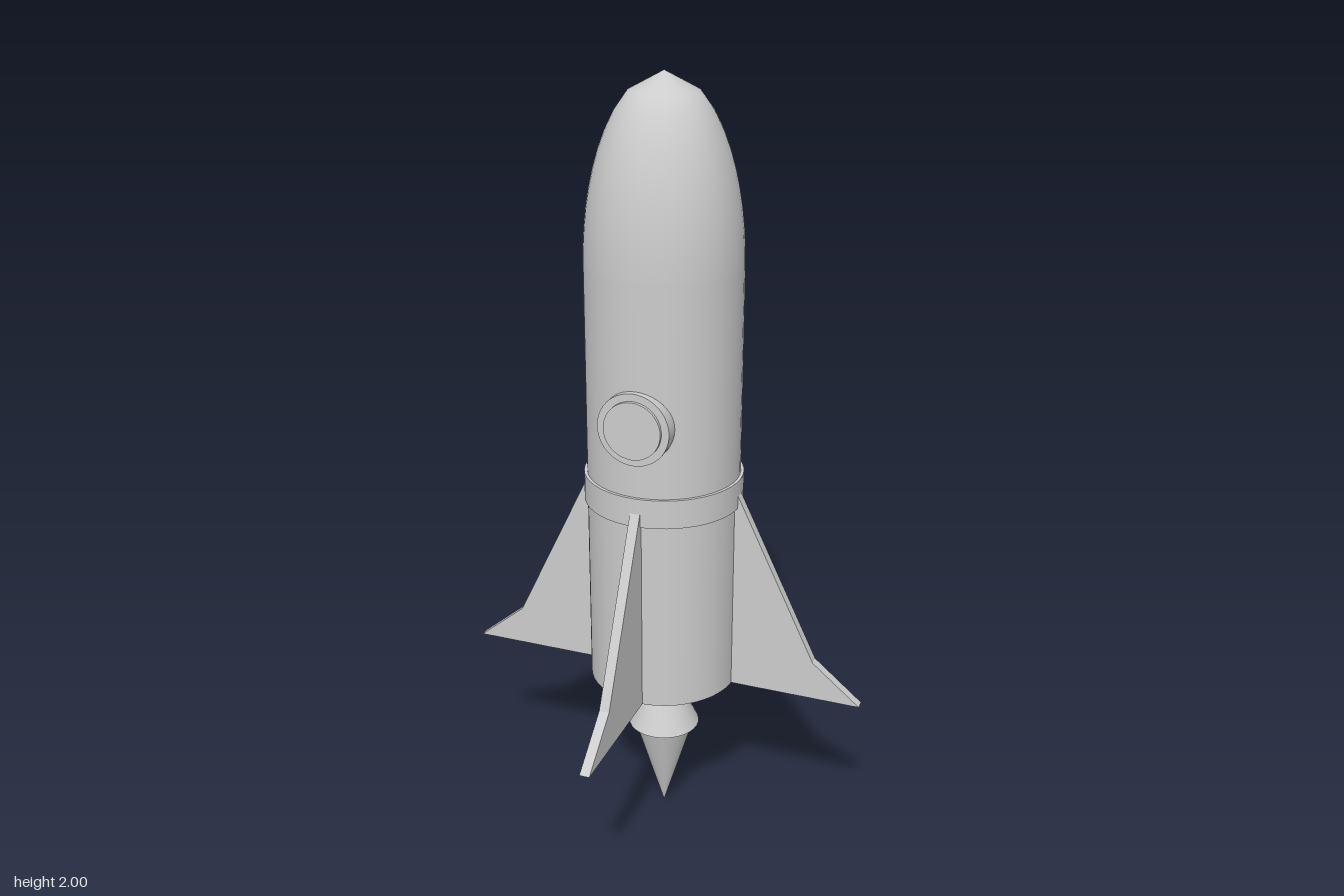
import * as THREE from 'three';

const V = (x, y) => new THREE.Vector2(x, y);

export function createModel() {
  const rocket = new THREE.Group();
  rocket.name = 'rocket';
  const grey = new THREE.MeshStandardMaterial({ color: 0xcccccc });
  grey.name = 'light grey';

  const add = (name, geometry, parent = rocket) => {
    const mesh = new THREE.Mesh(geometry, grey);
    mesh.name = name;
    parent.add(mesh);
    return mesh;
  };

  // Hull: straight tube from the tail to the shoulder
  const R = 0.195, tail = 0.43, shoulder = 1.55, top = 2;
  add('hull', new THREE.CylinderGeometry(R, R, shoulder - tail, 48, 1, true))
    .position.y = (shoulder + tail) / 2;
  const base = add('hullBase', new THREE.CircleGeometry(R, 48));
  base.rotation.x = Math.PI / 2;
  base.position.y = tail;

  // Nose: half ellipse in even height steps, which leaves a small point on top
  const nose = [];
  for (let i = 0; i <= 10; i++) {
    const t = i / 10;
    nose.push(V(R * Math.sqrt(1 - t * t), shoulder + t * (top - shoulder)));
  }
  add('nose', new THREE.LatheGeometry(nose, 48));

  // Raised band above the fins
  add('band', new THREE.CylinderGeometry(0.203, 0.203, 0.075, 48)).position.y = 0.976;

  // Porthole: frame and pane on the front
  const porthole = new THREE.Group();
  porthole.name = 'porthole';
  porthole.position.y = 1.195;
  rocket.add(porthole);
  [['portholeFrame', 0.092, 0.16, 0.211], ['portholePane', 0.073, 0.17, 0.22]].forEach(([name, r, z0, z1]) => {
    const disc = add(name, new THREE.CylinderGeometry(r, r, z1 - z0, 40), porthole);
    disc.rotation.x = Math.PI / 2;
    disc.position.z = (z0 + z1) / 2;
  });

  // Four swept fins
  const finShape = new THREE.Shape([
    V(0.17, tail), V(0.54, tail), V(0.413, 0.535), V(0.2, 0.978), V(0.17, 0.978),
  ]);
  const finGeometry = new THREE.ExtrudeGeometry(finShape, { depth: 0.026, bevelEnabled: false });
  finGeometry.translate(0, 0, -0.013);
  for (let i = 0; i < 4; i++) add('fin', finGeometry).rotation.y = i * Math.PI / 2;

  // Engine nozzle: narrow waist flaring to a rim
  add('nozzleNeck', new THREE.CylinderGeometry(0.06, 0.05, 0.07, 32, 1, true)).position.y = 0.397;
  add('nozzleBell', new THREE.CylinderGeometry(0.05, 0.095, 0.097, 32)).position.y = 0.3135;

  // Exhaust flame: cone pointing down
  const flame = add('flame', new THREE.ConeGeometry(0.08, 0.265, 32));
  flame.rotation.x = Math.PI;
  flame.position.y = 0.1325;

  return rocket;
}
